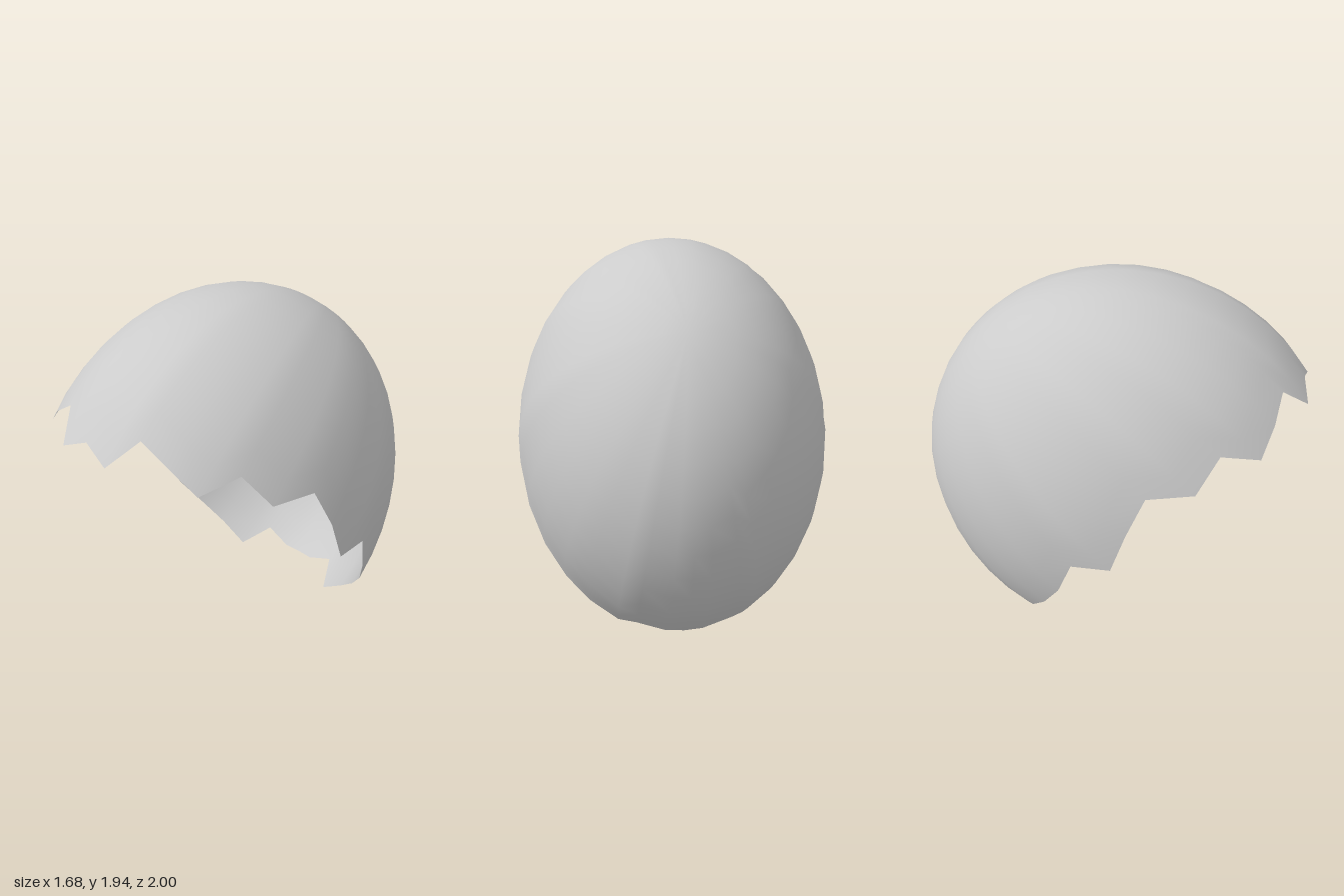
import * as THREE from 'three';

// Jagged rim, from the front tip to the back tip along the left side
const RIM = [
  [0, 1.49, 0.97], [0.15, 1.43, 1.0], [0.25, 1.55, 0.86], [0.4, 1.455, 0.835],
  [0.53, 1.345, 0.79], [0.61, 1.4, 0.595], [0.72, 1.245, 0.5], [0.78, 1.24, 0.275],
  [0.825, 1.04, 0.19], [0.845, 0.82, 0.12], [0.84, 0.805, -0.08], [0.8, 0.58, -0.16],
  [0.72, 0.395, -0.26], [0.62, 0.235, -0.36], [0.5, 0.11, -0.425], [0.345, 0, -0.45],
  [0.25, 0.09, -0.61], [0.1, 0.02, -0.61], [0, 0.02, -0.615],
];
const ROWS = 12;
const SQUASH = 0.78; // the shell is narrower in x
const CENTRE = new THREE.Vector3(0, 0.853, 0.102);
const POLE = new THREE.Vector3(0, 1, -1).normalize(); // crown of the tilted dome
const FRONT = new THREE.Vector3(0, 1, 1).normalize();

// Slightly pointed egg profile, theta measured from the crown
const radius = (theta) => 1.08 + 0.055 * Math.max(0, Math.cos(theta)) ** 2;

function shellPoint(theta, phi) {
  const p = POLE.clone().multiplyScalar(Math.cos(theta))
    .addScaledVector(FRONT, Math.sin(theta) * Math.cos(phi));
  p.x = Math.sin(theta) * Math.sin(phi);
  p.multiplyScalar(radius(theta));
  p.x *= SQUASH;
  return p.add(CENTRE);
}

function shellGeometry() {
  // Rim points as angles about the crown, mirrored to close the loop
  const half = RIM.map(([x, y, z]) => {
    const d = new THREE.Vector3(x, y, z).sub(CENTRE);
    d.x /= SQUASH;
    return { theta: d.angleTo(POLE), phi: Math.atan2(d.x, d.dot(FRONT)) };
  });
  const mirrored = half.slice(1, -1).reverse().map(({ theta, phi }) => ({ theta, phi: -phi }));
  const loop = [...half, ...mirrored];
  const n = loop.length;

  // Rows of vertices run from the crown down to the rim
  const positions = [...shellPoint(0, 0).toArray()];
  for (let r = 1; r <= ROWS; r++) {
    for (const { theta, phi } of loop) {
      positions.push(...shellPoint(theta * r / ROWS, phi).toArray());
    }
  }
  const at = (r, i) => 1 + (r - 1) * n + (i % n);
  const index = [];
  for (let i = 0; i < n; i++) {
    index.push(0, at(1, i), at(1, i + 1));
    for (let r = 1; r < ROWS; r++) {
      const a = at(r, i), b = at(r + 1, i), c = at(r + 1, i + 1), d = at(r, i + 1);
      index.push(a, b, c, a, c, d);
    }
  }
  const geometry = new THREE.BufferGeometry();
  geometry.setAttribute('position', new THREE.Float32BufferAttribute(positions, 3));
  geometry.setIndex(index);
  geometry.computeVertexNormals();
  return geometry;
}

export function createModel() {
  const group = new THREE.Group();
  group.name = 'brokenEggshell';
  const material = new THREE.MeshStandardMaterial({ color: 0xcccccc, side: THREE.DoubleSide });
  const shell = new THREE.Mesh(shellGeometry(), material);
  shell.name = 'shell';
  group.add(shell);
  return group;
}
